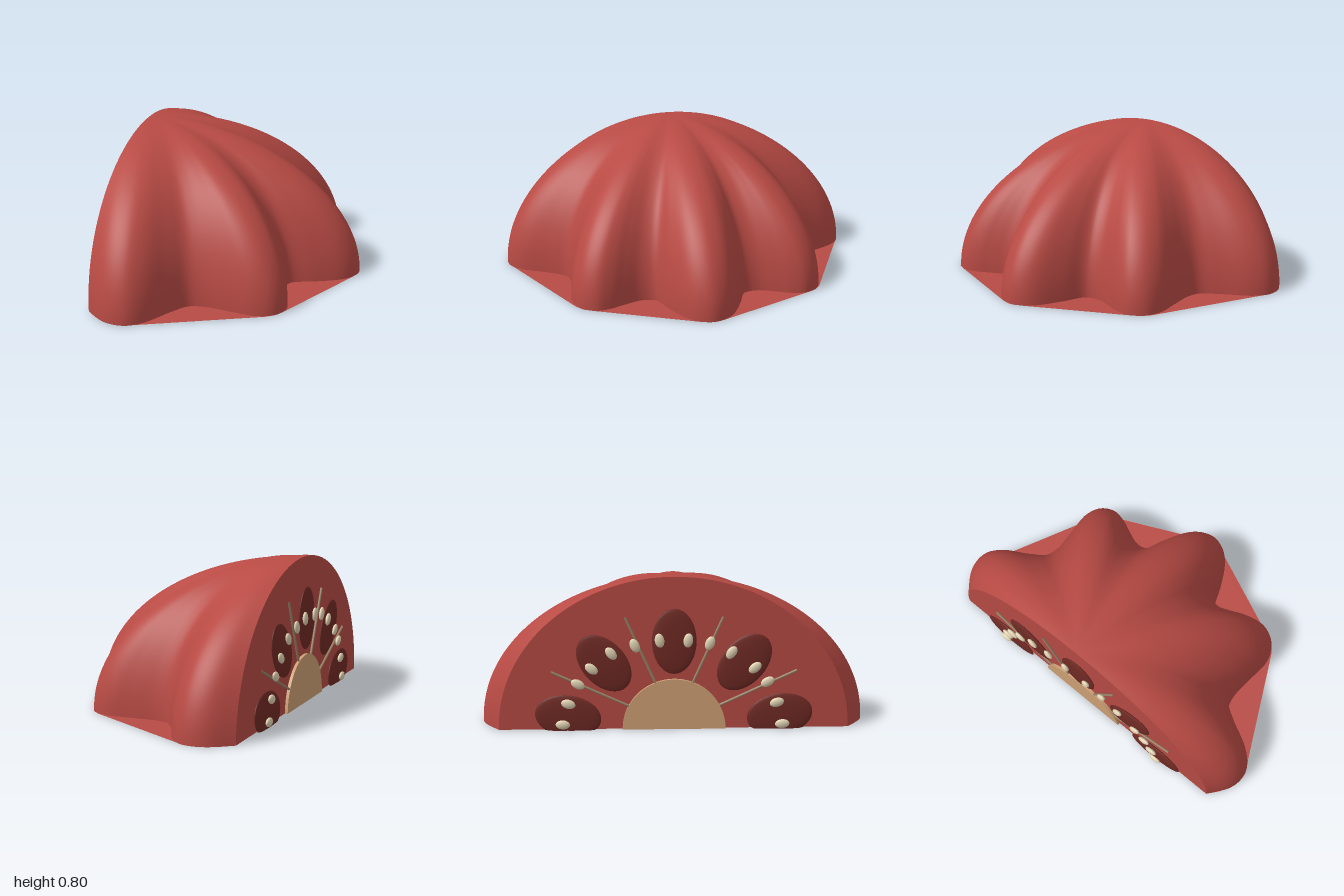
import * as THREE from 'three';

const material = (name, color, side = THREE.FrontSide) => {
  const m = new THREE.MeshStandardMaterial({ color, side });
  m.name = name;
  return m;
};

const CUT_X = -0.584, HEIGHT = 0.795, CUT_HALF = 0.9;

// Half of the lobed footprint, as [x, z], from the cut edge to the middle lobe tip
const FOOTPRINT = [
  [CUT_X, 0.9], [-0.475, 0.98], [-0.4, 1], [-0.33, 0.988], [-0.26, 0.925], [-0.18, 0.78],
  [-0.115, 0.69], [-0.035, 0.67], [0.1, 0.68], [0.24, 0.69], [0.33, 0.655], [0.375, 0.58],
  [0.365, 0.5], [0.33, 0.42], [0.295, 0.325], [0.31, 0.25], [0.43, 0.195], [0.56, 0.125],
  [0.61, 0.07], [0.632, 0],
];
const mirrorZ = pts => [...pts, ...pts.slice(0, -1).reverse().map(([x, z]) => [x, -z])];

// Dome whose lobes fade towards the crown
function lobedSkin() {
  const curve = new THREE.CatmullRomCurve3(
    mirrorZ(FOOTPRINT).map(([x, z]) => new THREE.Vector3(x, 0, z)));
  const U = 200, V = 48, pos = [], index = [];
  for (let j = 0; j <= V; j++) {
    const v = (j / V) * Math.PI / 2 * 0.9995;
    const h = Math.cos(v), fade = Math.pow(h, 0.6);
    for (let i = 0; i <= U; i++) {
      const p = curve.getPoint(i / U);
      const a = Math.atan2(p.z, p.x - CUT_X);
      const x = THREE.MathUtils.lerp(1.05 * Math.cos(a), p.x - CUT_X, fade);
      const z = THREE.MathUtils.lerp(CUT_HALF * Math.sin(a), p.z, fade);
      pos.push(CUT_X + h * x, HEIGHT * Math.sin(v), h * z);
      if (i < U && j < V) {
        const k = j * (U + 1) + i, n = k + U + 1;
        index.push(k, k + 1, n, k + 1, n + 1, n);
      }
    }
  }
  const g = new THREE.BufferGeometry();
  g.setAttribute('position', new THREE.Float32BufferAttribute(pos, 3));
  g.setIndex(index);
  g.computeVertexNormals();
  return g;
}

// Half ellipse standing on its straight edge
function halfEllipse(rx, ry) {
  const s = new THREE.Shape();
  s.absellipse(0, 0, rx, ry, 0, Math.PI, false, 0);
  s.closePath();
  return s;
}

// Flattened ellipsoid, turned by angle and cut level with the ground
function pod(x, y, depth, rx, ry, rz, angle) {
  const g = new THREE.SphereGeometry(1, 28, 18);
  g.scale(rx, ry, rz).rotateZ(angle).translate(x, y, depth);
  const p = g.attributes.position;
  for (let i = 0; i < p.count; i++) p.setY(i, Math.max(0, p.getY(i)));
  return g;
}

export function createModel() {
  const model = new THREE.Group();
  model.name = 'cutFruit';
  const skin = material('red skin', 0xb84a44, THREE.DoubleSide);
  const chamberMat = material('dark chamber', 0x702a24);
  const coreMat = material('tan core', 0xcfa075);
  const seedMat = material('cream seed', 0xe2d4b4);
  const veinMat = material('vein', 0x9a8468);

  const add = (parent, name, geometry, mat) => {
    const m = new THREE.Mesh(geometry, mat);
    m.name = name;
    parent.add(m);
    return m;
  };

  add(model, 'lobedSkin', lobedSkin(), skin);

  // Flat base bridging the lobes
  const rim = mirrorZ([[CUT_X, 0.9], [-0.53, 0.945], [-0.475, 0.98], [-0.4, 1], [-0.34, 0.99],
    [0.3, 0.68], [0.345, 0.645], [0.37, 0.6], [0.615, 0.065], [0.632, 0]]);
  const base = new THREE.ShapeGeometry(
    new THREE.Shape(rim.map(([x, z]) => new THREE.Vector2(x, z))));
  add(model, 'base', base.rotateX(Math.PI / 2), skin);

  // Cut side: local x runs along the face, local z points outward
  const cut = new THREE.Group();
  cut.name = 'cutSide';
  cut.rotation.y = -Math.PI / 2;
  cut.position.x = CUT_X;
  model.add(cut);
  add(cut, 'cutFace', new THREE.ShapeGeometry(halfEllipse(CUT_HALF, HEIGHT), 64), skin);

  // Core
  add(cut, 'core', new THREE.ExtrudeGeometry(halfEllipse(0.265, 0.265),
    { depth: 0.016, bevelEnabled: false, curveSegments: 32 }), coreMat);

  // Five seed chambers fanned around the core
  const step = Math.PI * 0.225, first = Math.PI * 0.05;
  for (let i = 0; i < 5; i++) {
    const a = first + i * step;
    add(cut, 'chamber', pod(0.55 * Math.cos(a), 0.465 * Math.sin(a), 0.015,
      0.17, 0.113, 0.016, a), chamberMat);
  }

  // Veins between the chambers
  for (let i = 0; i < 4; i++) {
    const a = first + (i + 0.5) * step;
    const from = new THREE.Vector3(0.26 * Math.cos(a), 0.25 * Math.sin(a), 0.008);
    const to = new THREE.Vector3(0.72 * Math.cos(a), 0.63 * Math.sin(a), 0.008);
    add(cut, 'vein', new THREE.TubeGeometry(new THREE.LineCurve3(from, to), 1, 0.007, 8), veinMat);
  }

  // Seeds along an arc
  const seeds = [[-0.57, 0.035], [-0.54, 0.145], [-0.49, 0.25], [-0.42, 0.33], [-0.32, 0.41],
    [-0.2, 0.45], [-0.075, 0.475], [0.07, 0.475], [0.18, 0.46], [0.29, 0.41], [0.41, 0.33],
    [0.475, 0.255], [0.525, 0.145], [0.555, 0.03]];
  for (const [x, y] of seeds) {
    add(cut, 'seed', pod(x, y, 0.036, 0.037, 0.024, 0.013, Math.atan2(y, x)), seedMat);
  }
  return model;
}
